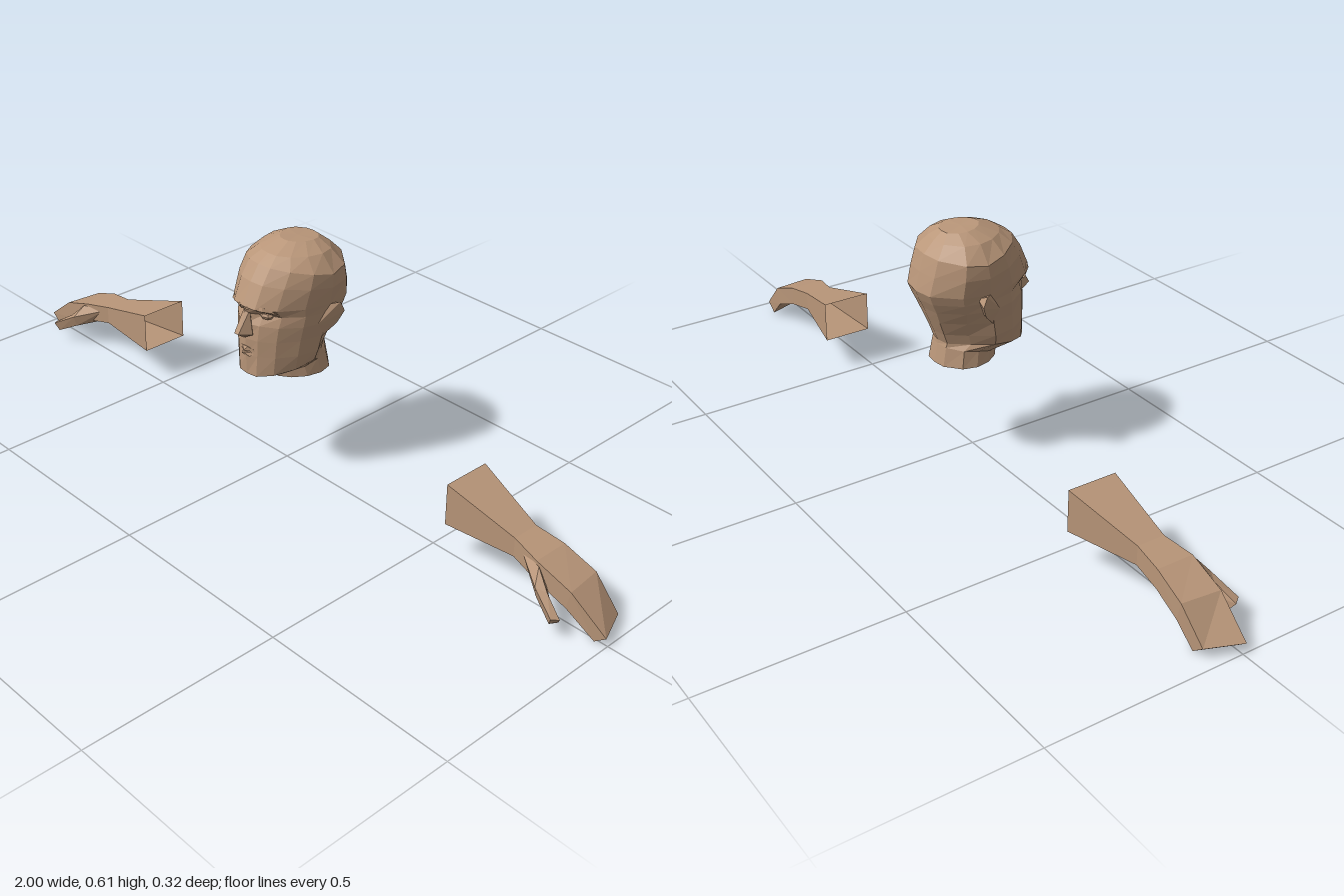
import * as THREE from 'three';
import { ConvexGeometry } from 'three/addons/geometries/ConvexGeometry.js';

const skin = new THREE.MeshStandardMaterial({ color: 0xb99679, flatShading: true, side: THREE.DoubleSide });
skin.name = 'skin';

// Joins closed rings of points into a faceted skin, optionally closing either end
function loft(rings, capFirst, capLast) {
  const out = [], n = rings[0].length;
  const tri = (...pts) => pts.forEach(p => out.push(...p));
  for (let i = 0; i + 1 < rings.length; i++) {
    for (let j = 0; j < n; j++) {
      const k = (j + 1) % n, a = rings[i], b = rings[i + 1];
      tri(a[j], b[j], a[k]);
      tri(a[k], b[j], b[k]);
    }
  }
  const cap = (ring, flip) => {
    const mid = [0, 1, 2].map(c => ring.reduce((s, p) => s + p[c], 0) / n);
    ring.forEach((p, j) => {
      const q = ring[(j + 1) % n];
      flip ? tri(mid, q, p) : tri(mid, p, q);
    });
  };
  if (capFirst) cap(rings[0], false);
  if (capLast) cap(rings[rings.length - 1], true);
  const g = new THREE.BufferGeometry();
  g.setAttribute('position', new THREE.Float32BufferAttribute(out, 3));
  g.computeVertexNormals();
  return g;
}

const hull = pts => new ConvexGeometry(pts.map(p => new THREE.Vector3(...p)));
const flipX = (pts, side) => pts.map(([x, y, z]) => [x * side, y, z]);

function add(parent, name, geometry) {
  const mesh = new THREE.Mesh(geometry, skin);
  mesh.name = name;
  parent.add(mesh);
}

// One head ring: heights at front, side and back, depth range, half width, rear width factor, socket depth
function headRing([yf, ys, yb, zf, zb, w, rear, socket]) {
  const columns = [[0, 0], [0.3, 0.015], [0.63, 0.13], [0.9, 0.33], [1, 0.56], [0.88 * rear, 0.78], [0.42 * rear, 0.97], [0, 1]];
  const half = columns.map(([fx, t], i) => {
    const y = t < 0.56 ? yf + (ys - yf) * t / 0.56 : ys + (yb - ys) * (t - 0.56) / 0.44;
    const dent = i === 1 ? socket : i === 2 ? socket * 0.5 : 0;
    return [fx * w, y, zf + (zb - zf) * t - dent];
  });
  return [...half, ...flipX(half.slice(1, -1).reverse(), -1)];
}

function makeHead() {
  const head = new THREE.Group();
  head.name = 'head';
  // Crown down to the neck
  const rows = [
    [0.609, 0.607, 0.603, 0.01, -0.085, 0.045, 1, 0],
    [0.59, 0.588, 0.585, 0.06, -0.108, 0.085, 1, 0],
    [0.572, 0.547, 0.557, 0.09, -0.135, 0.121, 1, 0],
    [0.535, 0.515, 0.515, 0.115, -0.148, 0.124, 1, 0],
    [0.48, 0.472, 0.47, 0.14, -0.16, 0.119, 1, 0],
    [0.458, 0.452, 0.445, 0.13, -0.15, 0.117, 0.97, 0.02],
    [0.432, 0.425, 0.42, 0.132, -0.138, 0.115, 0.92, 0.008],
    [0.392, 0.39, 0.388, 0.133, -0.125, 0.109, 0.84, 0.005],
    [0.35, 0.352, 0.352, 0.132, -0.11, 0.105, 0.76, 0.004],
    [0.296, 0.325, 0.325, 0.13, -0.1, 0.098, 0.78, 0],
    [0.276, 0.305, 0.315, 0.056, -0.101, 0.074, 1, 0],
    [0.267, 0.267, 0.267, 0.052, -0.11, 0.08, 1, 0],
  ];
  add(head, 'skullAndNeck', loft(rows.map(headRing), true, false));

  // Nose wedge
  add(head, 'nose', hull([
    [-0.01, 0.468, 0.127], [0.01, 0.468, 0.127], [0, 0.464, 0.135],
    [-0.007, 0.413, 0.161], [0.007, 0.413, 0.161], [0, 0.396, 0.138],
    [-0.023, 0.408, 0.13], [0.023, 0.408, 0.13], [0, 0.42, 0.11],
  ]));

  // Lips
  add(head, 'upperLip', hull([
    [-0.033, 0.362, 0.122], [0.033, 0.362, 0.122], [-0.009, 0.373, 0.134],
    [0.009, 0.373, 0.134], [0, 0.362, 0.139], [0, 0.365, 0.12],
  ]));
  add(head, 'lowerLip', hull([
    [-0.028, 0.358, 0.122], [0.028, 0.358, 0.122], [-0.013, 0.347, 0.133],
    [0.013, 0.347, 0.133], [0, 0.356, 0.137], [0, 0.35, 0.12],
  ]));

  for (const side of [1, -1]) {
    const label = side > 0 ? 'left' : 'right';
    // Brow ridge
    add(head, label + 'Brow', hull(flipX([
      [0.008, 0.474, 0.139], [0.012, 0.483, 0.138], [0.05, 0.488, 0.124], [0.052, 0.478, 0.126],
      [0.078, 0.472, 0.098], [0.078, 0.465, 0.094], [0.04, 0.475, 0.105],
    ], side)));
    // Eyeball between lids
    const eye = new THREE.SphereGeometry(1, 6, 4);
    eye.scale(0.018, 0.009, 0.011);
    eye.rotateY(side * 0.35);
    eye.translate(side * 0.043, 0.458, 0.104);
    add(head, label + 'Eye', eye);
    // Ear flaring out towards the back
    add(head, label + 'Ear', hull(flipX([
      [0.108, 0.468, -0.015], [0.134, 0.476, -0.047], [0.136, 0.45, -0.059], [0.125, 0.418, -0.044],
      [0.108, 0.388, -0.013], [0.108, 0.42, 0.009], [0.1, 0.46, -0.052], [0.1, 0.415, -0.035],
    ], side)));
  }
  return head;
}

// Four-cornered ring across the arm; skew pulls the rear corners inwards
function armRing([x, top, bottom, back, front, skew, under], side) {
  const ring = flipX([
    [x, top, front], [x - skew, top, back], [x - skew - under, bottom, back], [x - under, bottom, front],
  ], side);
  return side > 0 ? ring : ring.reverse();
}

function makeHand(side) {
  const hand = new THREE.Group();
  hand.name = side > 0 ? 'leftHand' : 'rightHand';
  // Forearm, wrist, palm and joined fingers
  const rows = [
    [0.546, 0.196, 0.089, -0.112, 0.016, 0, 0],
    [0.735, 0.144, 0.095, -0.07, 0.002, 0, 0],
    [0.81, 0.132, 0.082, -0.077, 0.018, 0, 0],
    [0.905, 0.1, 0.053, -0.083, 0.016, 0.01, 0.01],
    [1, 0.028, 0.004, -0.079, 0.008, 0.035, 0.03],
  ];
  add(hand, 'forearmAndPalm', loft(rows.map(r => armRing(r, side)), false, true));
  // Thumb base and tip
  const base = [[0.755, 0.125, 0.002], [0.765, 0.09, -0.01], [0.82, 0.125, 0.022], [0.83, 0.08, 0.005]];
  const knuckle = [[0.835, 0.092, 0.05], [0.86, 0.085, 0.038], [0.835, 0.062, 0.042], [0.86, 0.06, 0.026]];
  const tip = [[0.9, 0.056, 0.073], [0.912, 0.052, 0.056], [0.89, 0.034, 0.064], [0.9, 0.033, 0.045]];
  add(hand, 'thumbBase', hull(flipX([...base, ...knuckle], side)));
  add(hand, 'thumbTip', hull(flipX([...knuckle, ...tip], side)));
  return hand;
}

export function createModel() {
  const model = new THREE.Group();
  model.name = 'headAndHands';
  model.add(makeHead(), makeHand(1), makeHand(-1));
  return model;
}
